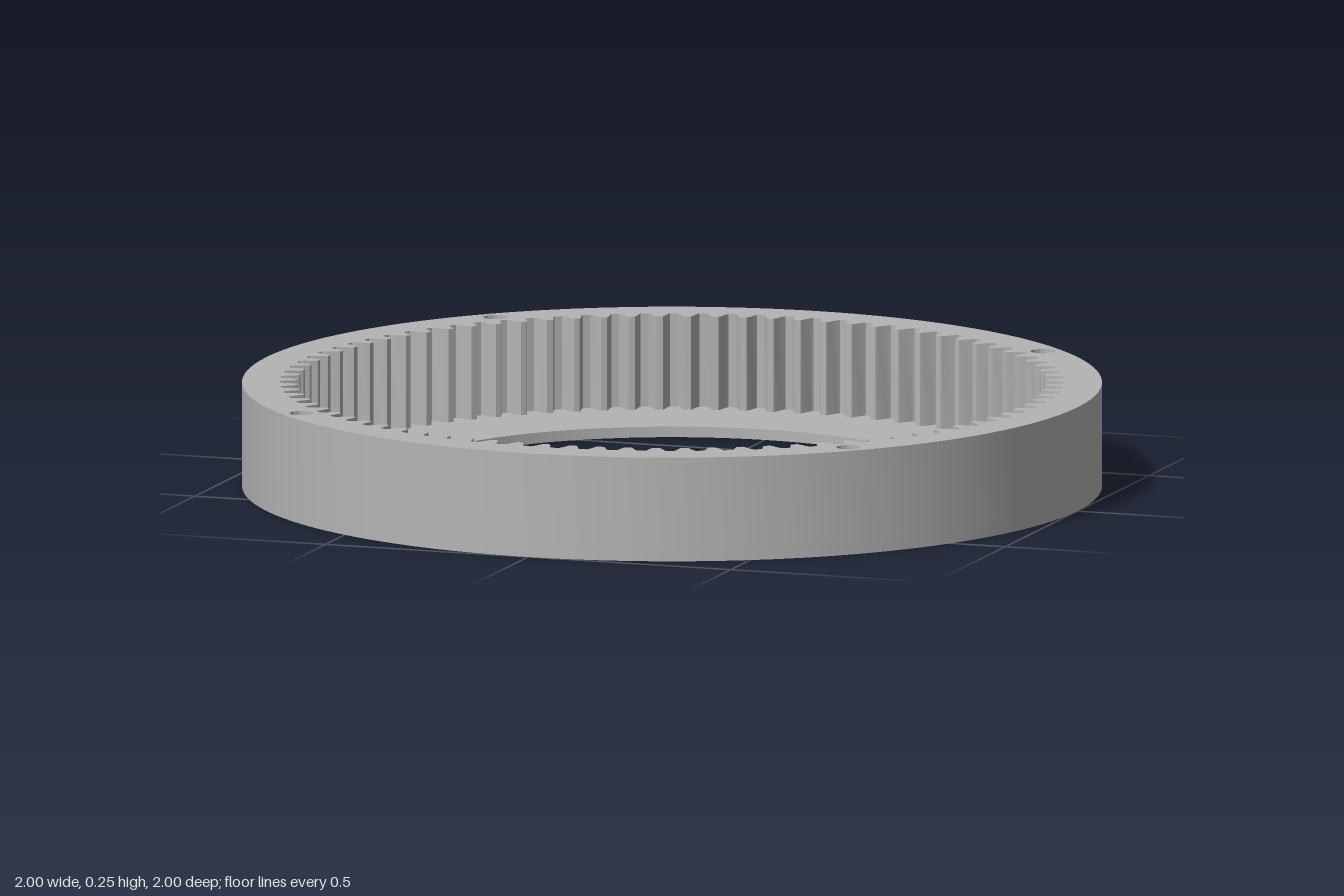
import * as THREE from 'three';
import { toCreasedNormals } from 'three/addons/utils/BufferGeometryUtils.js';

const HEIGHT = 0.245, FLOOR = 0.025, TEETH = 84;

// Disc outline of radius 1 with a central opening and four bolt holes
function ringShape(opening) {
  const shape = new THREE.Shape().absarc(0, 0, 1, 0, Math.PI * 2, false);
  shape.holes.push(opening);
  for (const sx of [-1, 1]) for (const sy of [-1, 1]) {
    shape.holes.push(new THREE.Path().absarc(sx * 0.675, sy * 0.675, 0.028, 0, Math.PI * 2, true));
  }
  return shape;
}

// Closed path of inward-pointing gear teeth, one tip at each axis
function toothPath() {
  const profile = [[-0.37, 0.911], [-0.3, 0.904], [-0.17, 0.877], [-0.11, 0.871],
    [0.11, 0.871], [0.17, 0.877], [0.3, 0.904], [0.37, 0.911]];
  const points = [];
  for (let i = 0; i < TEETH; i++) {
    for (const [t, r] of profile) {
      const a = -(i + t) / TEETH * Math.PI * 2;
      points.push(new THREE.Vector2(r * Math.cos(a), r * Math.sin(a)));
    }
  }
  points.push(points[0].clone());
  return new THREE.Path(points);
}

// Extrude an outline upward from height y
function slab(name, shape, y, depth, material) {
  const geometry = new THREE.ExtrudeGeometry(shape, { depth, bevelEnabled: false, curveSegments: 64 });
  geometry.rotateX(-Math.PI / 2).translate(0, y, 0);
  const mesh = new THREE.Mesh(toCreasedNormals(geometry, 0.45), material);
  mesh.name = name;
  return mesh;
}

export function createModel() {
  const group = new THREE.Group();
  group.name = 'ringGear';
  const steel = new THREE.MeshStandardMaterial({ color: 0xb4b4b4 });
  steel.name = 'grey steel';

  // Thin floor flange with the wide central hole
  const bore = new THREE.Path().absarc(0, 0, 0.645, 0, Math.PI * 2, true);
  group.add(slab('floorFlange', ringShape(bore), 0, FLOOR, steel));

  // Tall toothed rim standing on the flange
  group.add(slab('toothedRim', ringShape(toothPath()), FLOOR, HEIGHT - FLOOR, steel));
  return group;
}
